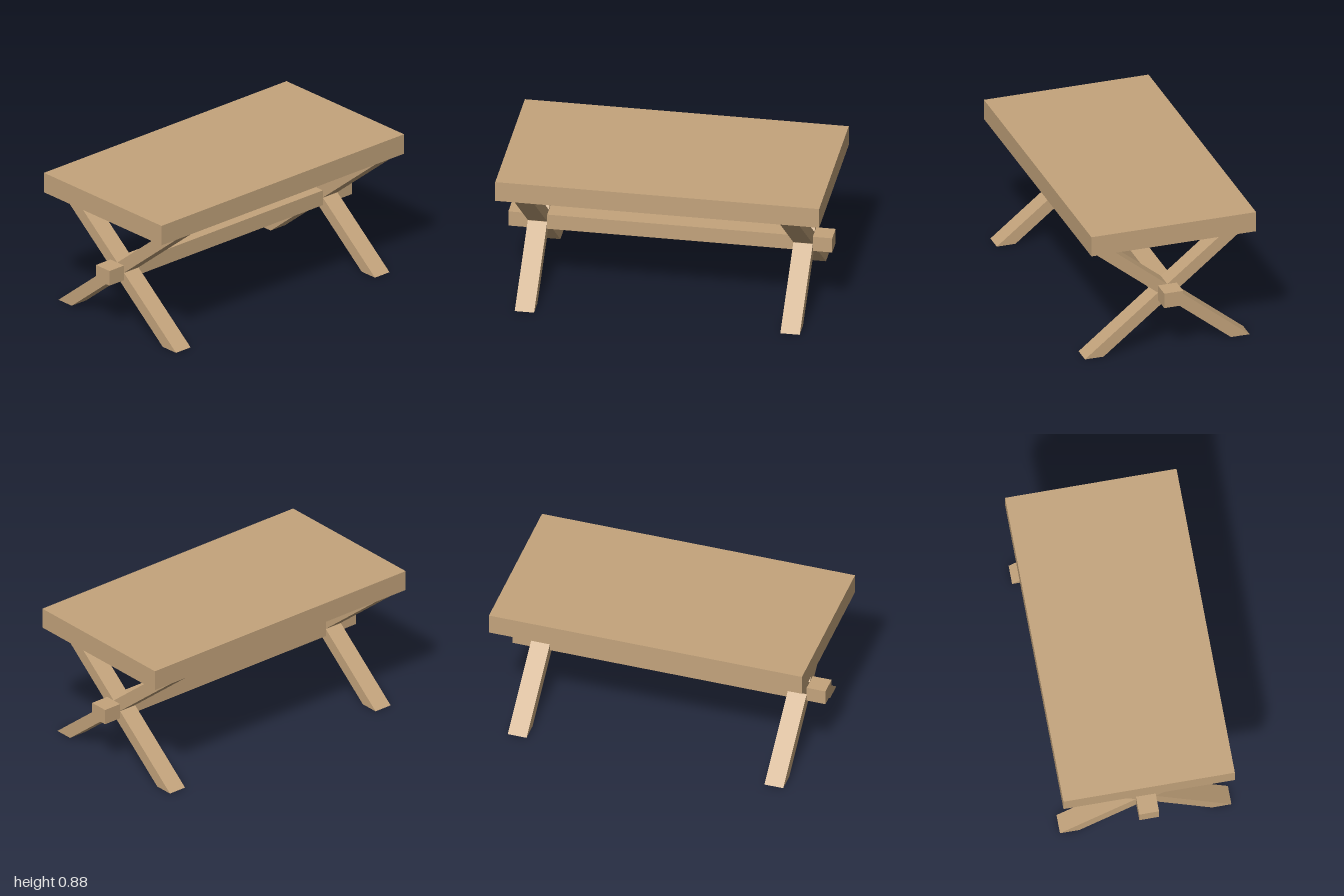
import * as THREE from 'three';

export function createModel() {
  const table = new THREE.Group();
  table.name = 'trestleTable';
  const wood = new THREE.MeshStandardMaterial({ color: 0xc4a47c });
  wood.name = 'lightWood';

  const add = (name, geometry, x, y, z) => {
    const mesh = new THREE.Mesh(geometry, wood);
    mesh.name = name;
    mesh.position.set(x, y, z);
    table.add(mesh);
  };

  const legHeight = 0.755, topThickness = 0.13, legWidth = 0.12;

  // Thick slab top
  add('tableTop', new THREE.BoxGeometry(2, topThickness, 1.06), 0, legHeight + topThickness / 2, 0);

  // Crossed legs: one X outline with feet and heads cut level
  const outer = 0.53, inner = 0.41, mid = legHeight / 2;
  const outline = [
    [outer, 0], [0.06, mid], [outer, legHeight], [inner, legHeight],
    [0, 0.426], [-inner, legHeight], [-outer, legHeight], [-0.06, mid],
    [-outer, 0], [-inner, 0], [0, 0.329], [inner, 0],
  ].map(([x, y]) => new THREE.Vector2(x, y));
  const legs = new THREE.ExtrudeGeometry(new THREE.Shape(outline), { depth: legWidth, bevelEnabled: false });
  legs.translate(0, 0, -legWidth / 2).rotateY(Math.PI / 2);
  add('leftCrossedLegs', legs, 0.82, 0, 0);
  add('rightCrossedLegs', legs, -0.82, 0, 0);

  // Stretcher beam through both crossings
  add('stretcherBeam', new THREE.BoxGeometry(2, 0.098, 0.122), 0, mid, 0);

  return table;
}
